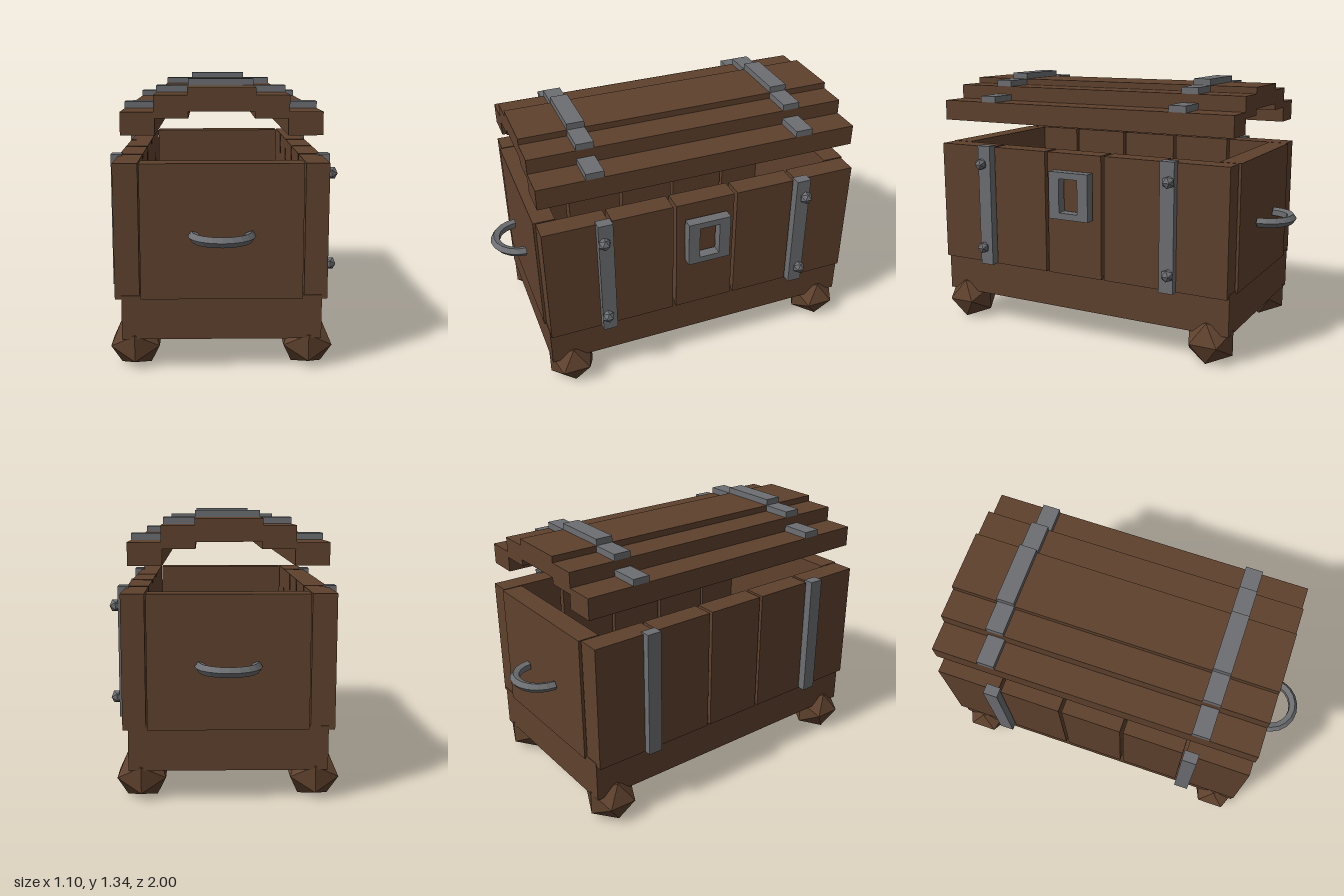
import * as THREE from 'three';

export function createModel() {
  const chest = new THREE.Group();
  chest.name = 'chest';
  const wood = new THREE.MeshStandardMaterial({ color: 0x5e412d });
  wood.name = 'brown wood';
  const iron = new THREE.MeshStandardMaterial({ color: 0x6c6e71 });
  iron.name = 'grey iron';

  const add = (name, geometry, material, x = 0, y = 0, z = 0) => {
    const mesh = new THREE.Mesh(geometry, material);
    mesh.name = name;
    mesh.position.set(x, y, z);
    chest.add(mesh);
    return mesh;
  };
  // Box given by its lower and upper limits on each axis
  const box = (name, material, [x0, x1], [y0, y1], [z0, z1]) =>
    add(name, new THREE.BoxGeometry(x1 - x0, y1 - y0, z1 - z0), material,
      (x0 + x1) / 2, (y0 + y1) / 2, (z0 + z1) / 2);
  // Faceted ball
  const ball = (radius) => new THREE.IcosahedronGeometry(radius, 0);

  const midX = -0.021; // middle of the wooden body

  // Base and feet
  box('base', wood, [-0.485, 0.443], [0.15, 0.36], [-0.83, 0.83]);
  const footShape = ball(0.134).scale(1, 0.905, 1);
  for (const sx of [-1, 1])
    for (const sz of [-1, 1])
      add('foot', footShape, wood, midX + sx * 0.406, 0.103, sz * 0.72);

  // Side walls of upright boards with narrow gaps
  const boards = [[-0.827, -0.5], [-0.484, -0.172], [-0.155, 0.155], [0.172, 0.484], [0.5, 0.827]];
  for (const z of boards) {
    box('leftBoard', wood, [0.36, 0.468], [0.342, 0.975], z);
    box('rightBoard', wood, [-0.515, -0.401], [0.342, 0.975], z);
  }

  for (const s of [-1, 1]) {
    // End panels
    box('endPanel', wood, [-0.395, 0.353], [0.345, 0.975], s > 0 ? [0.73, 0.838] : [-0.838, -0.73]);

    // Carrying handles: half rings lying flat
    const ring = new THREE.TorusGeometry(0.13, 0.025, 5, 10, Math.PI).toNonIndexed();
    ring.computeVertexNormals();
    const handle = add('handle', ring, iron, midX, 0.645, s * 0.845);
    handle.rotation.x = s * Math.PI / 2;

    // Wall straps, with studs on the lock side
    const strapZ = s > 0 ? [0.49, 0.565] : [-0.565, -0.49];
    box('leftStrap', iron, [0.452, 0.505], [0.34, 0.983], strapZ);
    box('rightStrap', iron, [-0.55, -0.497], [0.34, 0.983], strapZ);
    for (const y of [0.435, 0.887]) add('stud', ball(0.033), iron, 0.517, y, s * 0.54);
  }

  // Lock frame
  const frame = new THREE.Shape([[-0.112, 0.647], [0.112, 0.647], [0.112, 0.888], [-0.112, 0.888]]
    .map(([x, y]) => new THREE.Vector2(x, y)));
  frame.holes.push(new THREE.Path([[-0.053, 0.68], [-0.053, 0.855], [0.053, 0.855], [0.053, 0.68]]
    .map(([x, y]) => new THREE.Vector2(x, y))));
  const lock = add('lockFrame',
    new THREE.ExtrudeGeometry(frame, { depth: 0.053, bevelEnabled: false }), iron, 0.476, 0, 0);
  lock.rotation.y = Math.PI / 2;

  // Raised lid of stepped boards, each crossed by two straps
  const lid = [
    [[-0.475, -0.32], 1.1, 1.205], [[-0.325, -0.17], 1.175, 1.28], [[-0.175, 0.132], 1.207, 1.312],
    [[0.127, 0.283], 1.175, 1.28], [[0.277, 0.433], 1.1, 1.205],
  ];
  for (const [x, bottom, top] of lid) {
    box('lidBoard', wood, x, [bottom, top], [-0.825, 0.825]);
    for (const z of [[-0.587, -0.498], [0.498, 0.587]])
      box('lidStrap', iron, x, [top, top + 0.032], z);
  }
  return chest;
}
